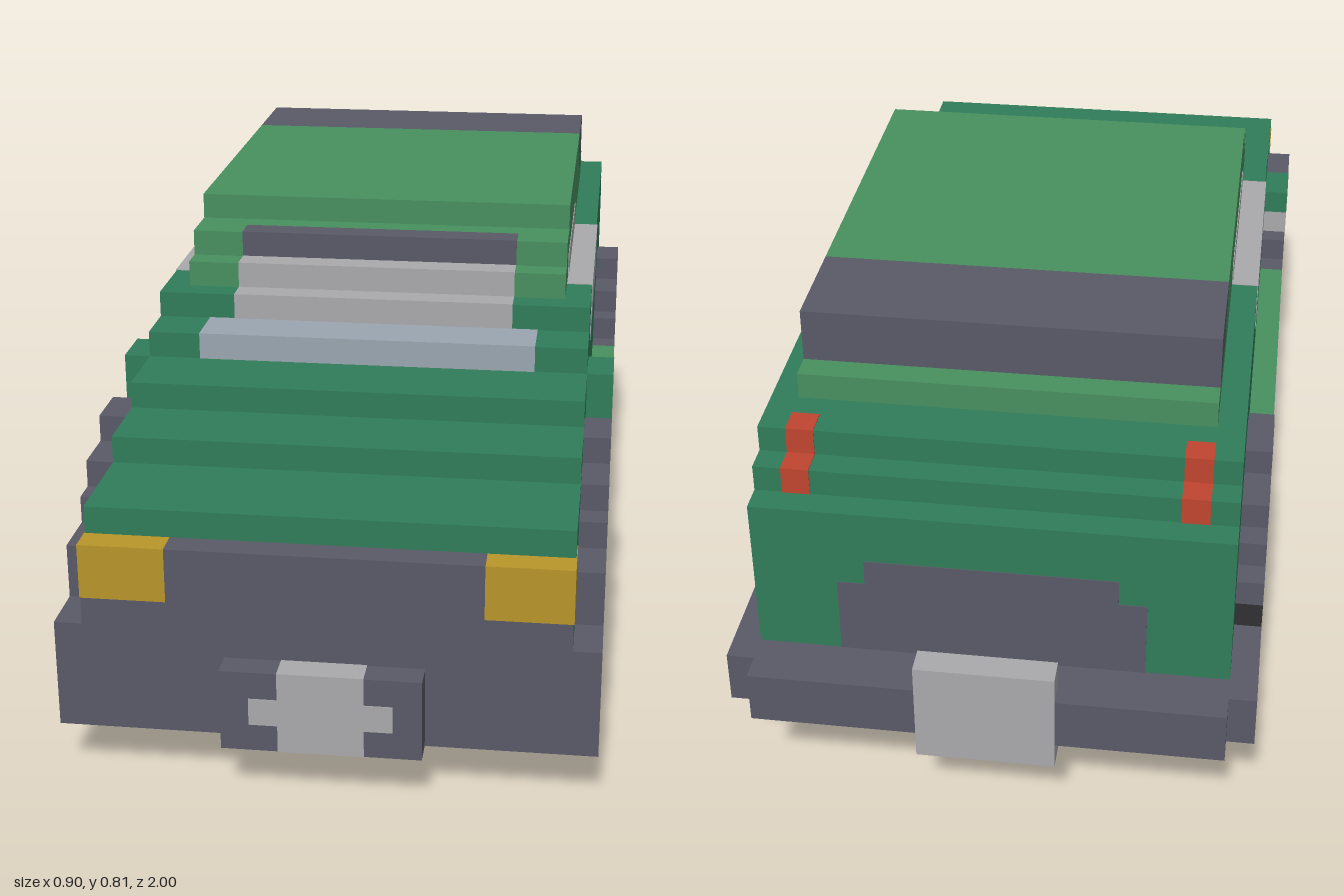
import * as THREE from 'three';

const U = 2 / 42; // one block
const GREEN = 0x307d5a, LIGHT = 0x48905f, DEEP = 0x216b55, GREY = 0x5a5a68, FLOOR = 0x34343c,
  TYRE = 0x303033, HUB = 0x8087a0, SILVER = 0xaaaaac, GLASS = 0x9aa6b0, AMBER = 0xb8962a, RED = 0xc0452f;
const materials = new Map();

function mat(color) {
  if (!materials.has(color)) materials.set(color, new THREE.MeshStandardMaterial({ color, flatShading: true }));
  return materials.get(color);
}

export function createModel() {
  const car = new THREE.Group();
  car.name = 'blockCar';

  // Box given by its limits in blocks
  function box(name, color, x0, x1, y0, y1, z0, z1, parent = car) {
    const m = new THREE.Mesh(new THREE.BoxGeometry((x1 - x0) * U, (y1 - y0) * U, (z1 - z0) * U), mat(color));
    m.position.set((x0 + x1) / 2 * U, (y0 + y1) / 2 * U, (z0 + z1) / 2 * U);
    m.name = name;
    parent.add(m);
  }
  // Box centred on x
  const mid = (name, color, half, ...rest) => box(name, color, -half, half, ...rest);
  // The same box on both sides
  function pair(name, color, x0, x1, ...rest) {
    box(name, color, x0, x1, ...rest);
    box(name, color, -x1, -x0, ...rest);
  }
  // Stepped ring of block rows: half-widths outside and inside, row by row
  function ring(name, color, outer, inner, y, cz, x0, x1) {
    const g = new THREE.Group();
    g.name = name;
    outer.forEach((o, i) => {
      const h = inner[i] || 0, xs = [Math.min(x0, x1), Math.max(x0, x1)];
      if (h >= o) return;
      if (!h) box(name + 'Row', color, ...xs, y + i, y + i + 1, cz - o, cz + o, g);
      else for (const [a, b] of [[-o, -h], [h, o]]) box(name + 'Row', color, ...xs, y + i, y + i + 1, cz + a, cz + b, g);
    });
    car.add(g);
  }

  // Stepped body, bottom to top: half-width, y0, y1, back z, front z
  mid('floor', FLOOR, 8.5, 2, 4, -16, 19);
  [
    [GREEN, 8.5, 4, 10, -19, 19],
    [GREEN, 8.5, 10, 11, -19, 15],
    [GREEN, 8.5, 11, 12, -19, 12],
    [GREEN, 8.5, 12, 13, -18, 9],
    [GREEN, 8.5, 13, 14, -17, 7],
    [LIGHT, 7.5, 14, 15, -15, 6],
    [LIGHT, 7.5, 15, 16, -11, 5],
    [LIGHT, 7.5, 16, 17, -10, 3],
  ].forEach(l => mid('bodyLayer', ...l));
  mid('roofRear', GREY, 7.5, 16, 17, -14, -10);
  mid('roofRear', GREY, 7.5, 15, 16, -14, -11);

  // Sills
  pair('sillLower', DEEP, 8.5, 9.5, 2, 4, -5, 6);
  pair('sillMiddle', GREEN, 8.5, 9.5, 4, 6, -6, 7);
  pair('sillUpper', LIGHT, 8.5, 9.5, 6, 8, -6, 7);
  pair('archLip', GREY, 8.5, 9.5, 2, 4, -6, -5);
  pair('archLip', GREY, 8.5, 9.5, 2, 4, 6, 7);

  // Windscreen and side windows stand just proud of the body
  const e = 0.03;
  mid('windscreen', GLASS, 6.5, 12, 13 + e, 7, 9 + e);
  mid('windscreen', SILVER, 5.5, 13, 14 + e, 6, 7 + e);
  mid('windscreen', SILVER, 5.5, 14, 15 + e, 5, 6 + e);
  mid('windscreenTop', GREY, 5.5, 15, 16 + e, 4, 5 + e);
  pair('sideWindow', GLASS, 7.5, 8.5 + e, 12, 13, -5, 5);
  pair('sideWindow', SILVER, 7.5, 8.5 + e, 13, 14 + e, -5, 4);
  pair('sideWindow', SILVER, 6.5, 7.5 + e, 14, 15, -5, 3);

  // Nose, headlamps and front plate
  mid('nose', GREY, 8.5, 2, 7, 18, 20);
  mid('grille', GREY, 5.5, 7, 9, 19, 20);
  pair('headlamp', AMBER, 5.5, 8.5 + e, 7, 9, 18, 20);
  pair('frontFender', GREY, 8.5, 9.5, 2, 6, 17, 20);
  pair('frontFenderStep', GREY, 8.5, 9.5, 6, 8, 17, 18);
  mid('frontPlateHolder', GREY, 3.5, 2, 5, 20, 21 - e);
  [1.5, 2.5, 1.5].forEach((w, i) => mid('frontPlate', SILVER, w, 2 + i, 3 + i + (i === 2 ? e : 0), 20, 21));

  // Tail: lamps, panel, bumper and plate
  pair('tailLamp', RED, 6.5, 7.5, 12, 13 + e, -18 - e, -17);
  pair('tailLamp', RED, 6.5, 7.5, 13, 14 + e, -17 - e, -16);
  mid('tailPanel', GREY, 5.5, 6, 9, -19 - e, -18);
  mid('tailPanel', GREY, 4.5, 9, 10, -19 - e, -18);
  mid('rearBumper', GREY, 8.5, 4, 6, -21 + e, -19);
  pair('rearFender', GREY, 8.5, 9.5, 4, 6, -20, -16);
  mid('rearPlate', SILVER, 2.5, 3, 7, -21, -20);

  // Mirrors
  pair('mirror', GREEN, 8.5, 9.5, 11, 12, 7, 9);
  pair('mirror', GREEN, 8.5, 9.5, 10, 11, 8, 9);
  pair('mirrorGlass', SILVER, 8.5, 9.5, 10, 11, 7, 8);

  // Wheels: half-widths of each row, starting at the ground
  const tyre = [3, 4, 5, 5, 5, 5, 5, 4, 3];
  const hub = [0, 0, 2, 3, 3, 3, 2, 0, 0];
  const recess = [0, 0, 0, 0, 1, 0, 0, 0, 0];
  const arch = [5, 5, 5, 5, 5, 5, 4, 3, 1]; // starts at y = 2
  for (const cz of [12, -11]) for (const s of [1, -1]) {
    ring('wheelArch', GREY, arch, tyre.slice(2), 2, cz, s * 8.5, s * 9.5);
    ring('tyre', TYRE, tyre, hub, 0, cz, s * 8.5, s * 9.5);
    ring('hub', HUB, hub, recess, 0, cz, s * 8.5, s * 9.5);
    ring('innerTyre', TYRE, tyre, [], 0, cz, s * 3.5, s * 8.6);
  }
  return car;
}
